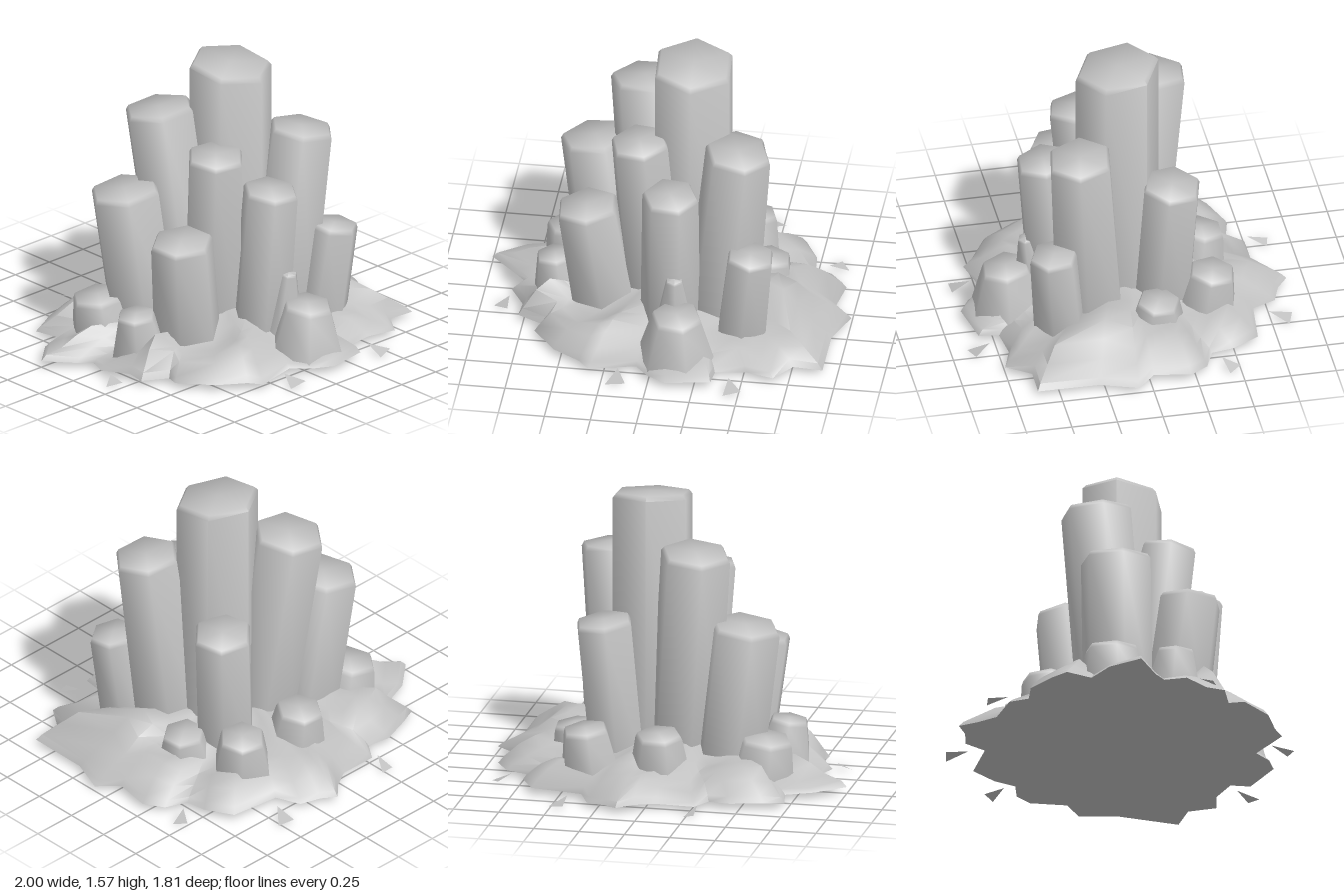
import * as THREE from 'three';
import { toCreasedNormals } from 'three/addons/utils/BufferGeometryUtils.js';

const stone = new THREE.MeshStandardMaterial({ color: 0xc0c0c0 });
stone.name = 'stone grey';
const chipStone = new THREE.MeshStandardMaterial({ color: 0xc0c0c0, side: THREE.DoubleSide });
chipStone.name = 'stone grey chips';

// Six-sided pillar: (x, z) is the centre of its top; it leans outward and its cap tips toward tipAngle
function pillar(name, x, z, r, h, rot, rBase = r, lean = 0.13, tipAngle = Math.atan2(z, x)) {
  const bottom = 0.06, bevel = Math.min(0.02, r * 0.15);
  const profile = [[rBase, bottom], [r, h - bevel], [r * 0.91, h + 0.005], [0, h + 0.01]]
    .map(p => new THREE.Vector2(...p));
  const geo = new THREE.LatheGeometry(profile, 6);
  geo.rotateY(rot);
  const len = Math.hypot(x, z), dx = x / len, dz = z / len;
  const tx = Math.cos(tipAngle), tz = Math.sin(tipAngle);
  const pos = geo.attributes.position;
  for (let i = 0; i < pos.count; i++) {
    const px = pos.getX(i), py = pos.getY(i), pz = pos.getZ(i);
    const t = (py - bottom) / (h - bottom);
    const shift = -lean * h * (1 - t);
    const tip = t > 0.5 ? -0.14 * (px * tx + pz * tz) : 0;
    pos.setXYZ(i, px + x + dx * shift, py + tip, pz + z + dz * shift);
  }
  const mesh = new THREE.Mesh(toCreasedNormals(geo, 1.2), stone);
  mesh.name = name;
  return mesh;
}

// Boulders blended into the base: x, z, height, radius
const bumps = [
  [0.65, 0.12, 0.14, 0.17], [0.9, 0.14, 0.06, 0.1], [0.78, 0.42, 0.09, 0.14], [0.56, -0.46, 0.09, 0.13],
  [-0.36, -0.53, 0.09, 0.14], [-0.72, -0.2, 0.07, 0.1], [-0.62, 0.28, 0.13, 0.12],
  [-0.34, 0.56, 0.07, 0.13], [0.45, 0.6, 0.08, 0.13], [0.14, -0.68, 0.08, 0.14],
  [0.76, -0.16, 0.07, 0.12], [-0.13, 0.6, 0.06, 0.1], [-0.58, -0.46, 0.07, 0.11], [-0.55, 0.5, 0.06, 0.1]];

// Rocky mound: jagged outline with a steep rim, rising through rings and swelling at the boulders
function rockBase() {
  const outline = [
    -1, -0.25, -0.85, -0.38, -0.7, -0.43, -0.73, -0.58, -0.62, -0.63, -0.45, -0.69, -0.33, -0.66,
    -0.27, -0.75, -0.06, -0.75, 0.05, -0.82, 0.13, -0.9, 0.2, -0.84, 0.31, -0.8, 0.37, -0.67,
    0.65, -0.64, 0.73, -0.49, 0.74, -0.37, 0.86, -0.32, 0.93, -0.22, 0.9, -0.02, 1, 0.08,
    0.92, 0.28, 0.92, 0.62, 0.76, 0.62, 0.67, 0.75, 0.52, 0.7, 0.35, 0.72, 0.34, 0.83,
    0.1, 0.88, 0, 0.82, -0.08, 0.72, -0.33, 0.78, -0.39, 0.72, -0.54, 0.63, -0.67, 0.45,
    -0.64, 0.37, -0.78, 0.3, -0.77, 0.2, -0.85, 0.06, -0.8, -0.05, -0.86, -0.12];
  // scale, height, unevenness
  const rings = [[0, 0.025, 0], [0.8, 0.03, 0.003], [1, 0.045, 0.006], [0.97, 0.07, 0.012],
    [0.88, 0.085, 0.02], [0.79, 0.11, 0.025], [0.7, 0.14, 0.025], [0.6, 0.175, 0.025],
    [0.48, 0.21, 0.02], [0.35, 0.24, 0.01], [0, 0.27, 0]];
  const n = outline.length / 2, verts = [], index = [];
  rings.forEach(([s, y, rough], k) => {
    for (let i = 0; i < n; i++) {
      const x = outline[2 * i] * s, z = outline[2 * i + 1] * s;
      let h = y + rough * Math.sin(i * 1.35 + k * 0.6);
      if (k > 2) {
        for (const [bx, bz, bh, br] of bumps) {
          h += bh * Math.min(1, (1 - s) * 8) * Math.exp(-((x - bx) ** 2 + (z - bz) ** 2) / br ** 2);
        }
      }
      verts.push(x, h, z);
      if (k === rings.length - 1) continue;
      const a = k * n + i, b = k * n + (i + 1) % n;
      index.push(a, a + n, b, b, a + n, b + n);
    }
  });
  const geo = new THREE.BufferGeometry();
  geo.setAttribute('position', new THREE.Float32BufferAttribute(verts, 3));
  geo.setIndex(index);
  const mesh = new THREE.Mesh(toCreasedNormals(geo, 1), stone);
  mesh.name = 'rockBase';
  return mesh;
}

// Loose flat chip lying beside the base
function chip(x, z, w, d, rot) {
  const geo = new THREE.BufferGeometry();
  geo.setAttribute('position', new THREE.Float32BufferAttribute(
    [-w / 2, 0, d / 2, w / 2, 0.015, d / 2, 0, 0.04, -d / 2], 3));
  geo.computeVertexNormals();
  const mesh = new THREE.Mesh(geo, chipStone);
  mesh.position.set(x, 0.015, z);
  mesh.rotation.y = rot;
  mesh.name = 'looseChip';
  return mesh;
}

export function createModel() {
  const model = new THREE.Group();
  model.name = 'rockPillarCluster';
  model.add(rockBase());

  // Tall pillars: x, z, radius, height, rotation, base radius, lean
  model.add(pillar('centrePillar', 0.135, 0.03, 0.23, 1.55, 0.06, 0.23, 0, 1.4));
  [
    [-0.16, -0.22, 0.197, 1.3, 0.4],
    [0.345, -0.23, 0.165, 0.89, 0.25, 0.165, 0.09],
    [0.415, 0.29, 0.182, 1.175, 0.35, 0.205, 0.11],
    [-0.135, 0.2, 0.162, 1.14, 0.3, 0.17, 0.11],
    [-0.415, 0.23, 0.175, 0.73, 0.1, 0.19, 0.15],
    [-0.43, -0.2, 0.197, 0.905, 0.4],
    [0.065, 0.42, 0.155, 0.95, 0.45, 0.165, 0.08],
    [0.505, 0.45, 0.135, 0.63, 0.1, 0.15],
  ].forEach(p => model.add(pillar('tallPillar', ...p)));

  // Broken stumps: x, z, radius, height, rotation, base radius
  [
    [0.4, -0.44, 0.13, 0.34, 0.3, 0.18],
    [-0.01, -0.46, 0.13, 0.34, 0.5, 0.18],
    [-0.61, 0.08, 0.11, 0.31, 0.2, 0.17],
    [-0.56, -0.27, 0.15, 0.3, 0.4, 0.19],
    [0.53, -0.12, 0.12, 0.27, 0.1, 0.17],
    [0.13, 0.64, 0.14, 0.33, 0.4, 0.22, 0.05],
    [0.1, 0.52, 0.05, 0.48, 0.2, 0.14],
  ].forEach(p => model.add(pillar('stump', ...p)));

  // Loose chips: x, z, width, depth, rotation
  [
    [-0.28, -0.82, 0.06, 0.11, 2.9],
    [0.45, -0.8, 0.09, 0.12, 2.8],
    [0.85, -0.44, 0.08, 0.1, 2.2],
    [-0.87, 0.17, 0.09, 0.08, -0.5],
    [-0.17, 0.83, 0.11, 0.11, 0],
    [0.45, 0.84, 0.1, 0.11, 0.3],
  ].forEach(c => model.add(chip(...c)));

  return model;
}
